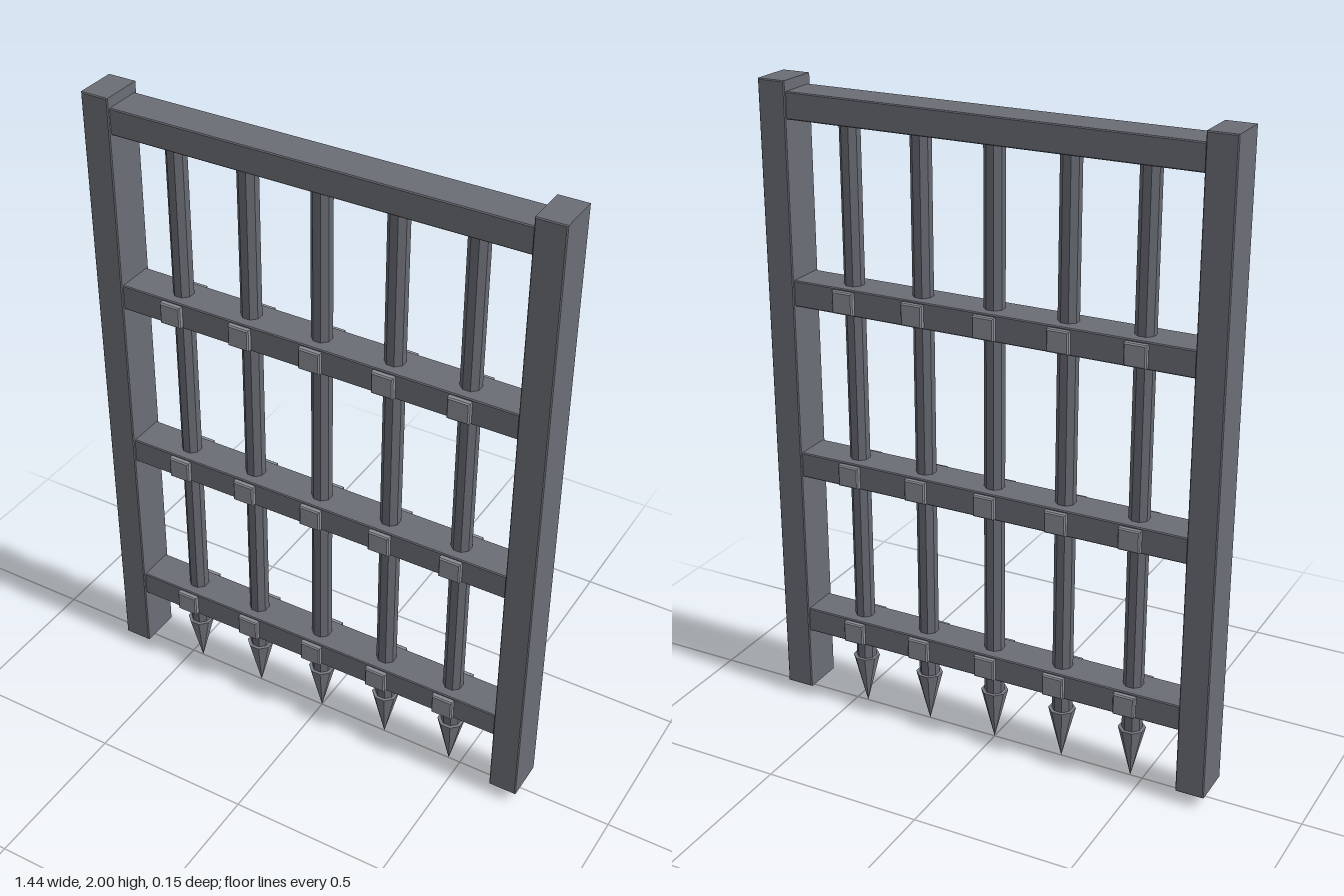
import * as THREE from 'three';

export function createModel() {
  const root = new THREE.Group();
  root.name = 'portcullis';
  const material = (name, color) => {
    const m = new THREE.MeshStandardMaterial({ color, flatShading: true });
    m.name = name;
    return m;
  };
  const iron = material('dark iron', 0x6a6d75);
  const barIron = material('bar iron', 0x666971);
  const steel = material('worn steel', 0x8a8d94);
  const spikeSteel = material('spike steel', 0x777a82);

  const add = (name, geometry, mat, x, y, z = 0) => {
    const mesh = new THREE.Mesh(geometry, mat);
    mesh.name = name;
    mesh.position.set(x, y, z);
    root.add(mesh);
    return mesh;
  };

  // Block with a small chamfer on its long edges and ends
  const block = (w, h, d, bevel) => {
    const a = w / 2 - bevel, b = h / 2 - bevel;
    const shape = new THREE.Shape([
      new THREE.Vector2(-a, -b), new THREE.Vector2(a, -b),
      new THREE.Vector2(a, b), new THREE.Vector2(-a, b),
    ]);
    return new THREE.ExtrudeGeometry(shape, {
      depth: d - 2 * bevel, bevelEnabled: true, bevelSegments: 1,
      bevelSize: bevel, bevelThickness: bevel,
    }).translate(0, 0, bevel - d / 2);
  };

  // Side posts
  const post = block(0.088, 1.962, 0.134, 0.003);
  for (const side of [-1, 1]) {
    add(side > 0 ? 'leftPost' : 'rightPost', post, iron, side * 0.676, 1.019);
  }

  // Cross rails
  const rail = block(1.3, 0.08, 0.118, 0.003);
  const railHeights = [0.281, 0.82, 1.372];
  add('topRail', rail, iron, 0, 1.929);
  railHeights.forEach((y) => add('crossRail', rail, iron, 0, y));

  // Upright bars with pointed spikes, and bolts on both faces of each crossing
  const barShape = new THREE.CylinderGeometry(0.031, 0.031, 1.76, 8).rotateY(Math.PI / 8);
  const spikeShape = new THREE.CylinderGeometry(0.042, 0, 0.17, 8).rotateY(Math.PI / 8);
  const boltShape = block(0.068, 0.068, 0.03, 0.004);
  for (let i = -2; i <= 2; i++) {
    const x = i * 0.2305;
    add('bar', barShape, barIron, x, 1.04);
    add('spike', spikeShape, spikeSteel, x, 0.086);
    for (const y of railHeights) {
      for (const side of [-1, 1]) add('bolt', boltShape, steel, x, y, side * 0.0605);
    }
  }
  return root;
}
